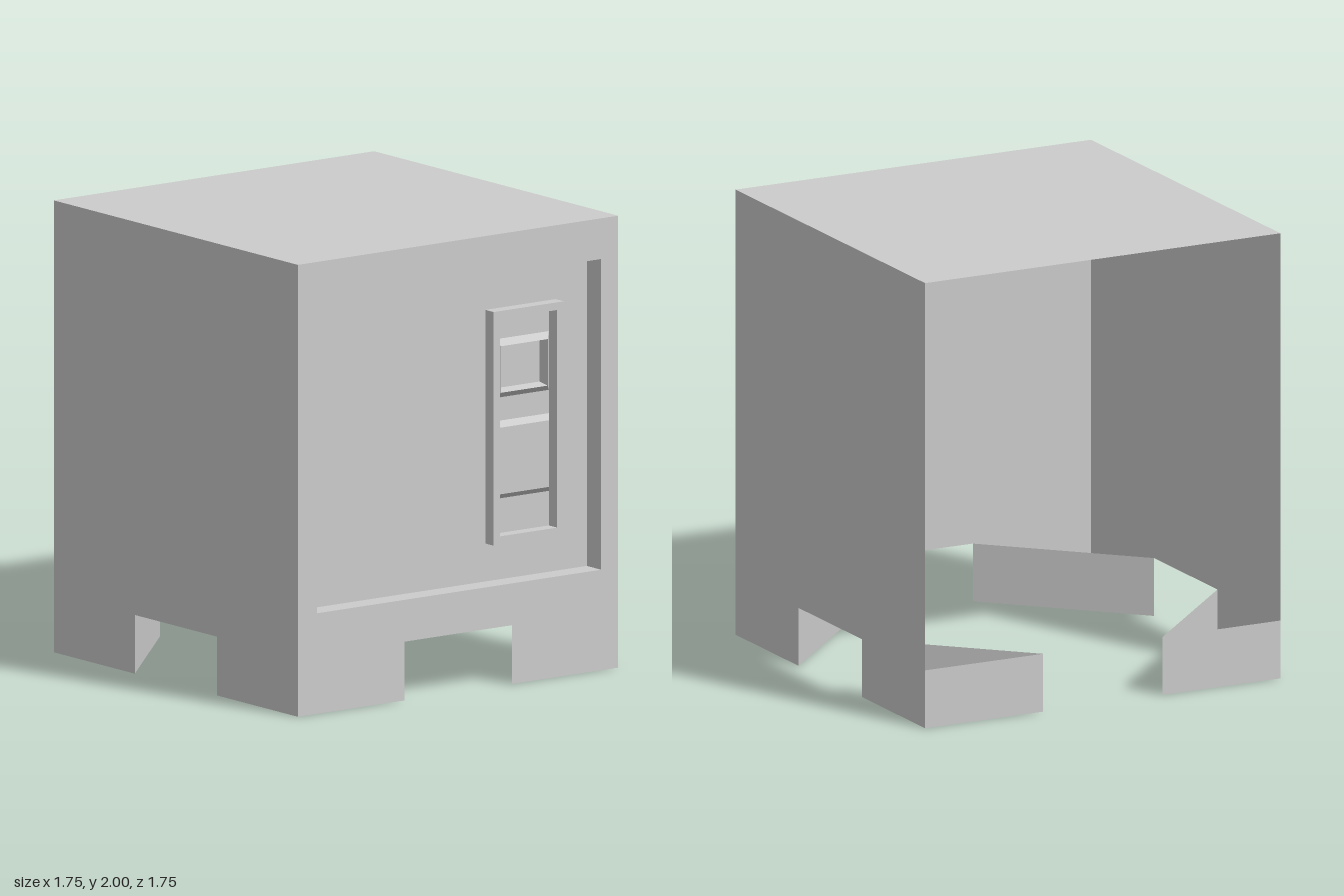
import * as THREE from 'three';

const material = new THREE.MeshStandardMaterial({ color: 0xcccccc, side: THREE.DoubleSide, flatShading: true });

const H = 0.873;      // half width of the cabinet
const LEG = 0.293;    // inner end of each leg
const LEG_TOP = 0.26;
const PANEL_Z = 0.77;

// Skin a list of equal-length cross-sections; optionally close each loop and cap the last one.
function loft(name, rings, { closed = true, cap = false } = {}) {
  const pos = [];
  const tri = (...pts) => pts.forEach(p => pos.push(...p));
  for (let r = 0; r + 1 < rings.length; r++) {
    const a = rings[r], b = rings[r + 1], n = a.length;
    for (let i = 0; i < (closed ? n : n - 1); i++) {
      const j = (i + 1) % n;
      tri(a[i], a[j], b[j]);
      tri(a[i], b[j], b[i]);
    }
  }
  if (cap) {
    const e = rings[rings.length - 1];
    for (let i = 1; i + 1 < e.length; i++) tri(e[0], e[i], e[i + 1]);
  }
  const geo = new THREE.BufferGeometry();
  geo.setAttribute('position', new THREE.Float32BufferAttribute(pos, 3));
  geo.computeVertexNormals();
  const mesh = new THREE.Mesh(geo, material);
  mesh.name = name;
  return mesh;
}

// Counter-clockwise rectangle facing the front
const rect = (x0, x1, y0, y1, z) => [[x0, y0, z], [x1, y0, z], [x1, y1, z], [x0, y1, z]];

export function createModel() {
  const model = new THREE.Group();

  // Side walls and top, open at the back and underneath
  const arch = z => [[H, LEG_TOP, z], [H, 2, z], [-H, 2, z], [-H, LEG_TOP, z]];
  model.add(loft('sidesAndTop', [arch(-H), arch(H)], { closed: false }));

  // Front border stepping back to the recessed panel, up to the outline of the control frame
  model.add(loft('frontPanel', [
    rect(-H, H, LEG_TOP, 2, H),
    rect(-0.77, 0.78, 0.445, 1.82, H),
    rect(-0.77, 0.78, 0.445, 1.82, PANEL_Z),
    rect(0.227, 0.61, 0.613, 1.647, PANEL_Z),
  ]));

  // Raised control frame with a well inside
  const X0 = 0.26, X1 = 0.573;
  model.add(loft('controlFrame', [
    rect(0.227, 0.61, 0.613, 1.647, PANEL_Z),
    rect(0.227, 0.61, 0.613, 1.647, PANEL_Z + 0.06),
    rect(X0, X1, 0.65, 1.613, PANEL_Z + 0.06),
    rect(X0, X1, 0.65, 1.613, PANEL_Z),
  ]));

  // Well floor between the controls
  for (const [y0, y1] of [[0.65, 0.803], [1.147, 1.25], [1.51, 1.613]]) {
    model.add(loft('wellFloor', [rect(X0, X1, y0, y1, PANEL_Z)], { cap: true }));
  }

  // Upper control: bevelled rim around a sunken window
  model.add(loft('displayWindow', [
    rect(X0, X1, 1.25, 1.51, PANEL_Z),
    rect(0.29, 0.545, 1.277, 1.483, PANEL_Z + 0.03),
    rect(0.298, 0.537, 1.288, 1.473, PANEL_Z - 0.02),
  ], { cap: true }));

  // Lower control: bevelled raised pad
  model.add(loft('controlPad', [
    rect(X0, X1, 0.803, 1.147, PANEL_Z),
    rect(0.283, 0.552, 0.828, 1.123, PANEL_Z + 0.03),
  ], { cap: true }));

  // Hollow triangular corner legs with closed feet
  for (const sx of [-1, 1]) {
    for (const sz of [-1, 1]) {
      const tri = y => {
        const p = [[sx * H, y, sz * H], [sx * LEG, y, sz * H], [sx * H, y, sz * LEG]];
        return sx * sz > 0 ? p : p.reverse();
      };
      const name = (sz > 0 ? 'front' : 'back') + (sx > 0 ? 'Left' : 'Right') + 'Leg';
      model.add(loft(name, [tri(LEG_TOP), tri(0)], { cap: true }));
    }
  }

  return model;
}
